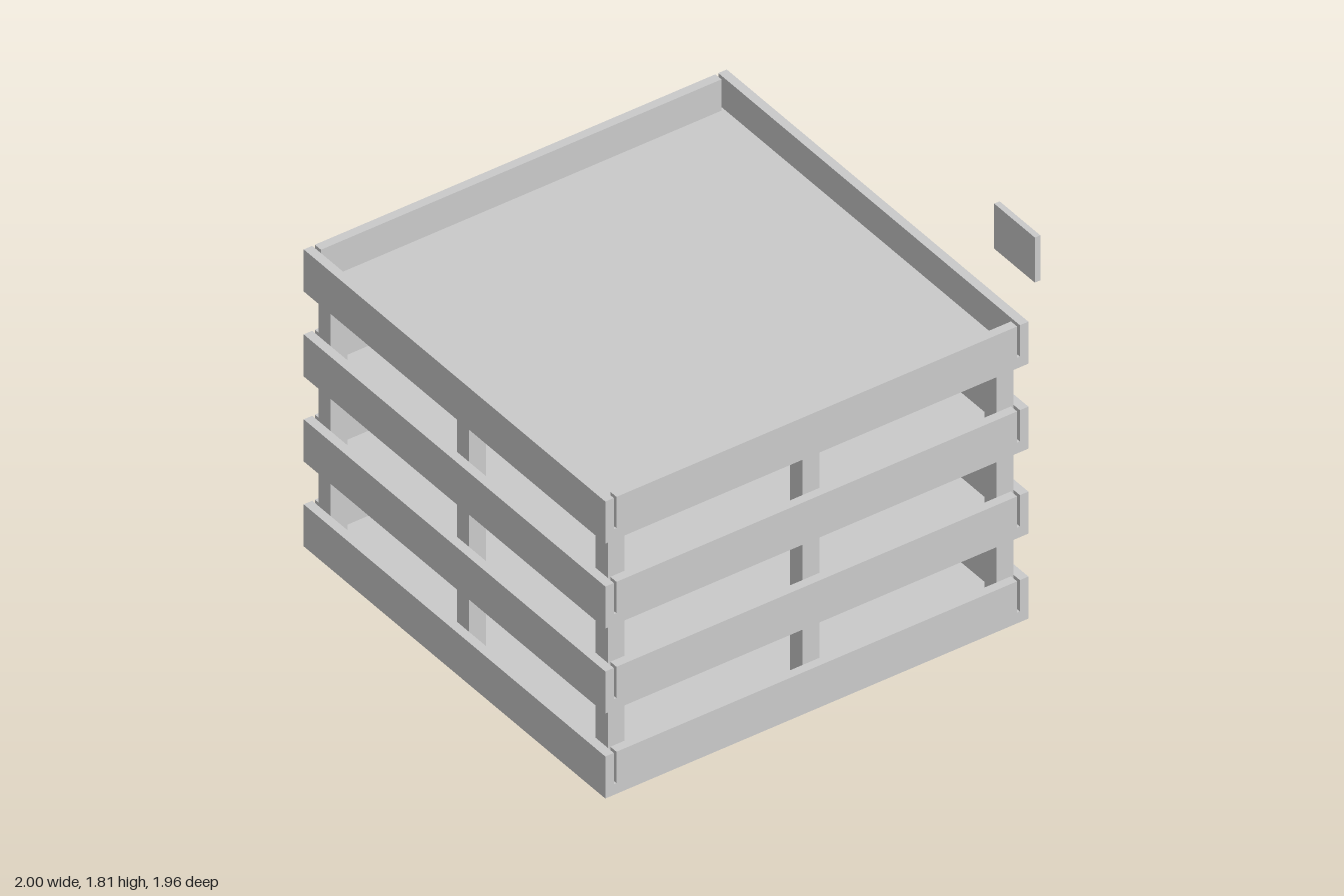
import * as THREE from 'three';

export function createModel() {
  const model = new THREE.Group();
  const concrete = new THREE.MeshStandardMaterial({ color: 0xcccccc });
  concrete.name = 'concrete grey';

  // Box given by its lower and upper limits on each axis
  function block(name, parent, [x0, x1], [y0, y1], [z0, z1]) {
    const mesh = new THREE.Mesh(new THREE.BoxGeometry(x1 - x0, y1 - y0, z1 - z0), concrete);
    mesh.position.set((x0 + x1) / 2, (y0 + y1) / 2, (z0 + z1) / 2);
    mesh.name = name;
    parent.add(mesh);
    return mesh;
  }

  const LEVELS = 4, STOREY = 0.396;
  const SLAB = 0.05, WALL_TOP = 0.196, COLUMN_TOP = 0.387;
  const X = [-1, 0.943], Z = [-0.967, 0.977];

  for (let i = 0; i < LEVELS; i++) {
    const level = new THREE.Group();
    level.name = 'level' + (i + 1);
    level.position.y = i * STOREY;
    model.add(level);

    // Floor deck and its four parapets, with narrow slots at the corners
    block('floorSlab', level, X, [0, SLAB], Z);
    const wallY = [SLAB, WALL_TOP];
    block('frontParapet', level, X, wallY, [0.938, Z[1]]);
    block('backParapet', level, X, wallY, [Z[0], -0.928]);
    block('rightParapet', level, [X[0], -0.961], wallY, [-0.915, 0.926]);
    block('leftParapet', level, [0.904, X[1]], wallY, [-0.915, 0.926]);

    // Columns under the next deck
    if (i === LEVELS - 1) continue;
    for (const x of [-0.922, -0.029, 0.865]) {
      for (const z of [-0.888, 0.005, 0.899]) {
        block('column', level, [x - 0.039, x + 0.039], [SLAB, COLUMN_TOP], [z - 0.039, z + 0.039]);
      }
    }
  }

  // Sloping ramp inside the lowest level
  const ramp = block('ramp', model, [-0.97, -0.66], [0.175, 0.215], [-0.945, 0.355]);
  ramp.rotation.x = -0.25;

  // Sign panel above the back corner
  block('signPanel', model, [0.738, 1], [1.605, 1.815], [-0.981, -0.956]);

  return model;
}
